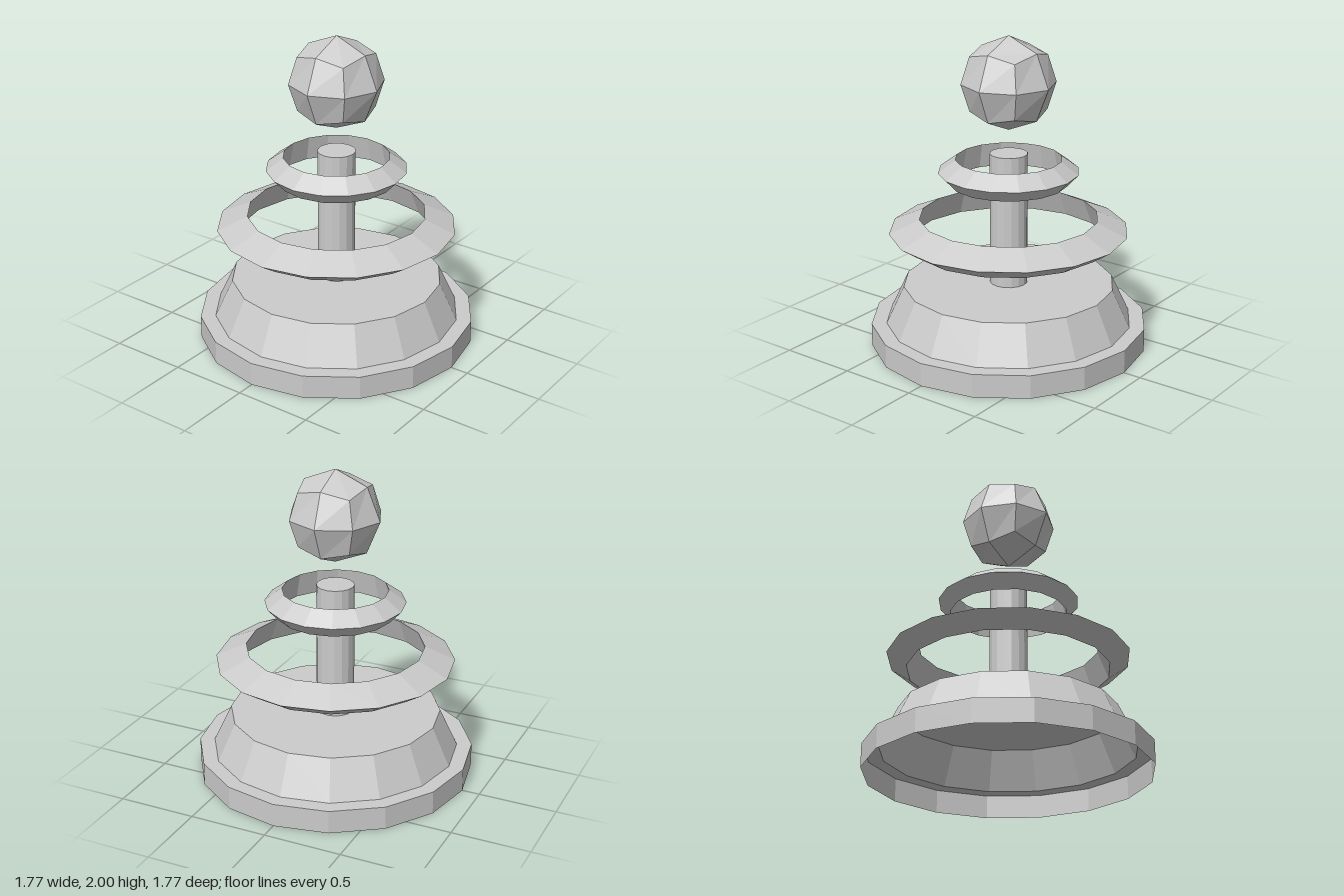
import * as THREE from 'three';

const SIDES = 16;

// Faceted part turned around the vertical axis from [radius, height] pairs
function turned(name, profile, side = THREE.FrontSide) {
  const points = profile.map(([r, y]) => new THREE.Vector2(r, y));
  const material = new THREE.MeshStandardMaterial({ color: 0xcccccc, flatShading: true, side });
  const mesh = new THREE.Mesh(new THREE.LatheGeometry(points, SIDES), material);
  mesh.name = name;
  return mesh;
}

// Floating ring with a triangular section
function ring(name, top, middle, bottom) {
  return turned(name, [bottom, middle, top, bottom]);
}

// Ball made from a cube of 2 x 2 panels per face, pushed out to a sphere
function ball(name, radius, y) {
  const geometry = new THREE.BoxGeometry(1, 1, 1, 2, 2, 2);
  const pos = geometry.attributes.position;
  const v = new THREE.Vector3();
  for (let i = 0; i < pos.count; i++) {
    v.fromBufferAttribute(pos, i).setLength(radius);
    pos.setXYZ(i, v.x, v.y, v.z);
  }
  geometry.computeVertexNormals();
  const mesh = new THREE.Mesh(
    geometry,
    new THREE.MeshStandardMaterial({ color: 0xcccccc, flatShading: true })
  );
  mesh.name = name;
  mesh.position.y = y;
  return mesh;
}

export function createModel() {
  const model = new THREE.Group();
  model.name = 'ringedPedestal';

  // Hollow stepped base, open underneath, with a hole below the post
  model.add(turned('base', [
    [0.886, 0], [0.886, 0.15], [0.79, 0.15], [0.675, 0.395], [0.12, 0.395],
  ], THREE.DoubleSide));

  // Hollow post with a closed top
  model.add(turned('post', [[0.12, 0.395], [0.12, 1.253], [0, 1.253]], THREE.DoubleSide));

  // Floating rings
  model.add(ring('lowerRing', [0.567, 0.84], [0.76, 0.753], [0.635, 0.67]));
  model.add(ring('upperRing', [0.335, 1.222], [0.445, 1.14], [0.37, 1.06]));

  // Floating ball
  model.add(ball('ball', 0.298, 1.702));

  return model;
}
